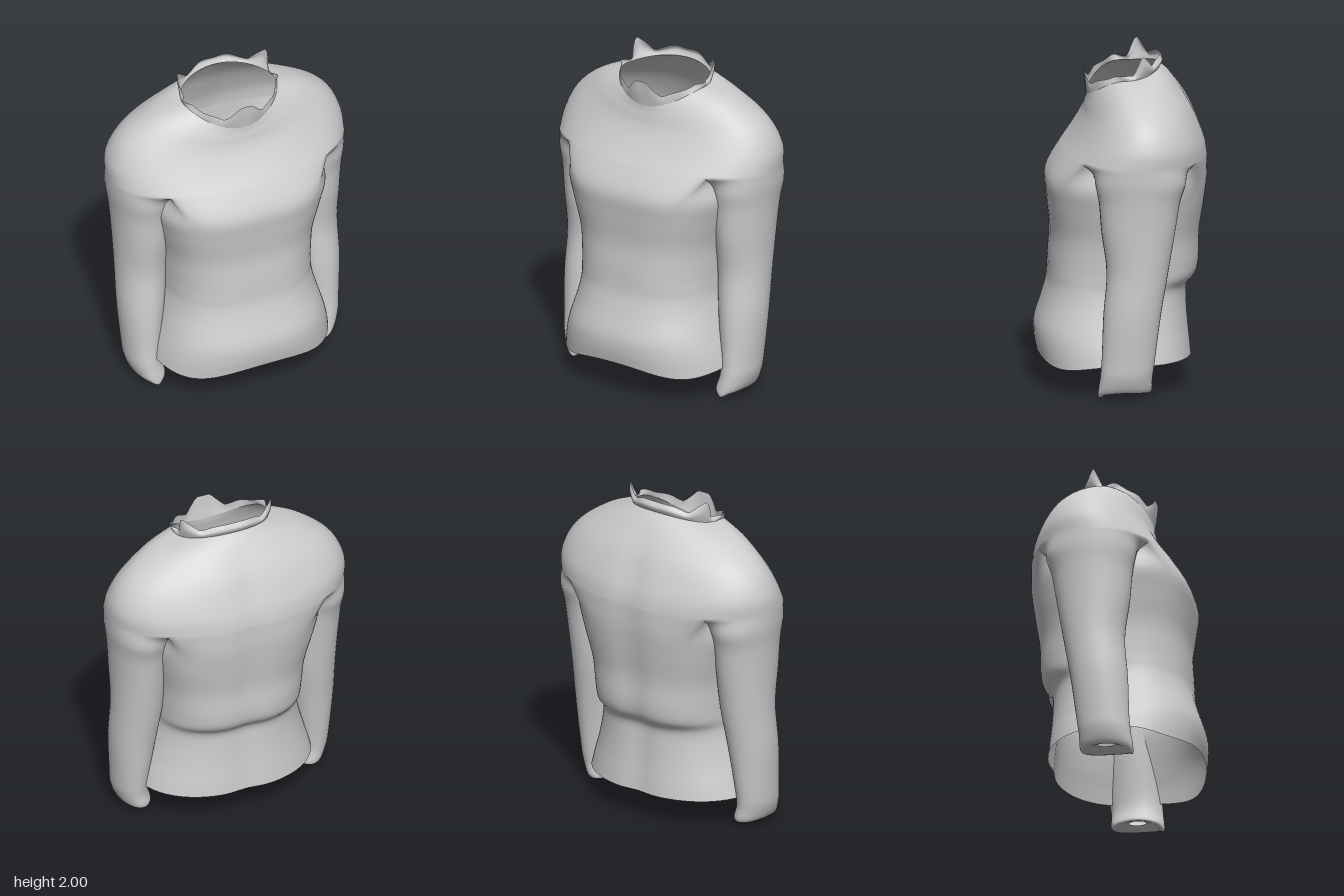
import * as THREE from 'three';
import { mergeGeometries, mergeVertices } from 'three/addons/utils/BufferGeometryUtils.js';

const SEG = 96;       // points in each ring
const PIT = 13;       // ring point where the armpit splits body and sleeve
const TAU = Math.PI * 2;
const clamp = THREE.MathUtils.clamp;

// Horizontal ring: [centreX, halfWidth, zFront, zBack, yFront, ySide, yBack, roundness]
function ring([cx, hw, zF, zB, yF, yS, yB, n], remap = (t) => t) {
  return Array.from({ length: SEG }, (_, j) => {
    const t = remap((j / SEG) * TAU), c = Math.cos(t), s = Math.sin(t);
    const ex = Math.sign(c) * Math.abs(c) ** (2 / n);
    const ez = Math.sign(s) * Math.abs(s) ** (2 / n);
    return new THREE.Vector3(cx + hw * ex, yS + ((s > 0 ? yF : yB) - yS) * s * s,
      (zF + zB) / 2 + ((zF - zB) / 2) * ez);
  });
}

// Smooth surface through rings of points listed bottom to top
function loft(rings, adjust = () => {}, steps = 5) {
  const pos = [], index = [], p = new THREE.Vector3();
  const rows = (rings.length - 1) * steps;
  const at = (i, j) => rings[clamp(i, 0, rings.length - 1)][j];
  for (let r = 0; r <= rows; r++) {
    const i = Math.min(Math.floor(r / steps), rings.length - 2), f = r / steps - i;
    for (let j = 0; j < SEG; j++) {
      const [a, b, c, d] = [-1, 0, 1, 2].map((k) => at(i + k, j));
      for (const k of ['x', 'y', 'z']) {      // Catmull-Rom
        p[k] = b[k] + 0.5 * f * (c[k] - a[k] + f * (2 * a[k] - 5 * b[k] + 4 * c[k] - d[k]
          + f * (3 * (b[k] - c[k]) + d[k] - a[k])));
      }
      adjust(p, (j / SEG) * TAU, r / rows);
      pos.push(p.x, p.y, p.z);
      if (r < rows) {
        const v = r * SEG + j, w = r * SEG + (j + 1) % SEG;
        index.push(v, v + SEG, w, w, v + SEG, w + SEG);
      }
    }
  }
  const g = new THREE.BufferGeometry();
  g.setAttribute('position', new THREE.Float32BufferAttribute(pos, 3));
  g.setIndex(index);
  return g;
}

function mirrored(geometry) {
  const g = geometry.clone().scale(-1, 1, 1);
  g.setIndex(Array.from(geometry.index.array).reverse());
  return g;
}

// Shallow groove down the spine
const spine = (p) => {
  if (p.z < -0.2) p.z += 0.018 * Math.exp(-((p.x / 0.09) ** 2)) * clamp((1.85 - p.y) * 4, 0, 1);
};
const bump = (t, centre, width) => Math.max(0, 1 - Math.abs(t - centre) / width);

export function createModel() {
  const group = new THREE.Group();
  const cloth = new THREE.MeshStandardMaterial({ color: 0xcccccc, side: THREE.DoubleSide });
  cloth.name = 'light grey cloth';
  const add = (name, geometry) => {
    geometry.computeVertexNormals();
    const mesh = new THREE.Mesh(geometry, cloth);
    mesh.name = name;
    group.add(mesh);
  };

  // Yoke: chest and shoulders up to the neckline
  const yokeRings = [
    [0, 0.75, 0.36, -0.512, 1.40, 1.40, 1.39, 2.15],
    [0, 0.745, 0.30, -0.495, 1.48, 1.50, 1.48, 2.15],
    [0, 0.70, 0.25, -0.45, 1.56, 1.61, 1.60, 2.1],
    [0, 0.62, 0.222, -0.40, 1.62, 1.70, 1.70, 2.05],
    [0, 0.50, 0.21, -0.33, 1.67, 1.782, 1.80, 2],
    [0, 0.40, 0.203, -0.28, 1.70, 1.825, 1.86, 2],
    [0, 0.30, 0.20, -0.235, 1.73, 1.855, 1.90, 2],
  ].map((r) => ring(r));
  const yoke = loft(yokeRings, spine);

  // The lowest yoke ring splits at the armpits into a body ring and two sleeve rings
  const seam = yokeRings[0], front = seam[PIT], back = seam[SEG - PIT];
  const bodyTop = seam.map((p, j) => {
    const k = j > SEG / 2 ? j - SEG : j;      // -SEG/2 .. SEG/2
    const fromSide = Math.abs(k) > SEG / 4 ? Math.sign(k) * (SEG / 2 - Math.abs(k)) : k;
    if (Math.abs(fromSide) >= PIT) return p;
    const q = back.clone().lerp(front, (fromSide + PIT) / (2 * PIT));
    q.x *= Math.abs(k) > SEG / 4 ? -1 : 1;
    return q;
  });
  const sleeveTop = seam.map((p, j) => (j <= PIT || j >= SEG - PIT ? p
    : front.clone().lerp(back, (j - PIT) / (SEG - 2 * PIT))));

  // Torso: hem, belly, waist, bust
  const torsoRings = [
    [0.56, 0.497, -0.418, 0.198, 0.185, 0.18, 2.4],
    [0.54, 0.511, -0.41, 0.28, 0.27, 0.27, 2.4],
    [0.51, 0.508, -0.40, 0.37, 0.37, 0.37, 2.4],
    [0.475, 0.468, -0.392, 0.50, 0.50, 0.50, 2.4],
    [0.455, 0.44, -0.395, 0.60, 0.60, 0.60, 2.5],
    [0.455, 0.432, -0.445, 0.67, 0.67, 0.67, 2.6],
    [0.46, 0.428, -0.463, 0.76, 0.76, 0.76, 2.6],
    [0.475, 0.418, -0.465, 0.92, 0.92, 0.92, 2.7],
    [0.52, 0.435, -0.49, 1.10, 1.10, 1.10, 2.8],
    [0.55, 0.44, -0.507, 1.25, 1.25, 1.25, 2.9],
  ].map((r) => ring([0, ...r]));
  const torso = loft([...torsoRings, bodyTop], (p, t, v) => {
    spine(p);
    if (v < 0.15 && p.z > 0) p.y -= 0.042 * (1 - v / 0.15) * Math.sin(t * 2) ** 2;
  });

  // Sleeve with a cuff folded inwards; ring angles are spread so the armpit points line up
  const pit = (PIT / SEG) * TAU, spread = TAU / 3;
  const remap = (t) => {
    const u = t > Math.PI ? t - TAU : t, m = Math.abs(u);
    return Math.sign(u) * (m < pit ? (m * spread) / pit
      : spread + ((m - pit) * (Math.PI - spread)) / (Math.PI - pit));
  };
  const sleeveRings = [
    [0.56, 0.03, 0.06, -0.04, 0.07, 0.07, 0.07],
    [0.55, 0.09, 0.165, -0.14, 0.02, 0.045, 0.035],
    [0.58, 0.10, 0.16, -0.15, 0.12, 0.13, 0.13],
    [0.585, 0.108, 0.15, -0.165, 0.24, 0.24, 0.24],
    [0.575, 0.136, 0.14, -0.20, 0.50, 0.50, 0.50],
    [0.56, 0.15, 0.12, -0.245, 0.76, 0.76, 0.76],
    [0.56, 0.16, 0.15, -0.285, 1.00, 1.00, 1.00],
    [0.56, 0.172, 0.165, -0.315, 1.18, 1.18, 1.18],
    [0.56, 0.186, 0.187, -0.35, 1.30, 1.30, 1.30],
  ].map((r) => ring([...r, 2], remap));
  const sleeve = loft([...sleeveRings, sleeveTop], (p, t, v) => {
    // Pointed front corner of the cuff
    if (v > 0.08 && v < 0.16) p.y -= 0.02 * bump(remap(t), Math.PI / 2, 0.5);
  });

  // Body and sleeves are welded so the cloth runs smoothly over the shoulders
  add('jumperBody', mergeVertices(mergeGeometries([yoke, torso, sleeve, mirrored(sleeve)])));

  // Collar: upright band with a peak on each side and a raised flap in front
  const collarRings = [
    [0, 0.30, 0.20, -0.235, 1.73, 1.855, 1.90, 2],
    [0, 0.295, 0.205, -0.25, 1.76, 1.87, 1.935, 2],
    [0, 0.285, 0.205, -0.23, 1.79, 1.885, 1.965, 2],
  ].map((r) => ring(r));
  add('collar', loft(collarRings, (p, t, v) => {
    const peak = bump(t, Math.PI * 1.16, 0.3) + bump(t, Math.PI * 1.84, 0.3);
    const corner = bump(t, Math.PI * 0.97, 0.2) + bump(t, Math.PI * 0.03, 0.2);
    const flap = Math.min(1, 1.5 * bump(t, Math.PI / 2, 0.45));
    p.y += v * (0.095 * peak + 0.09 * flap + 0.004 * Math.sin(t * 9));
    p.x *= 1 + v * (0.18 * peak + 0.1 * corner);
    p.z += v * (0.015 * flap + 0.004 * Math.sin(t * 11));
  }));
  return group;
}
